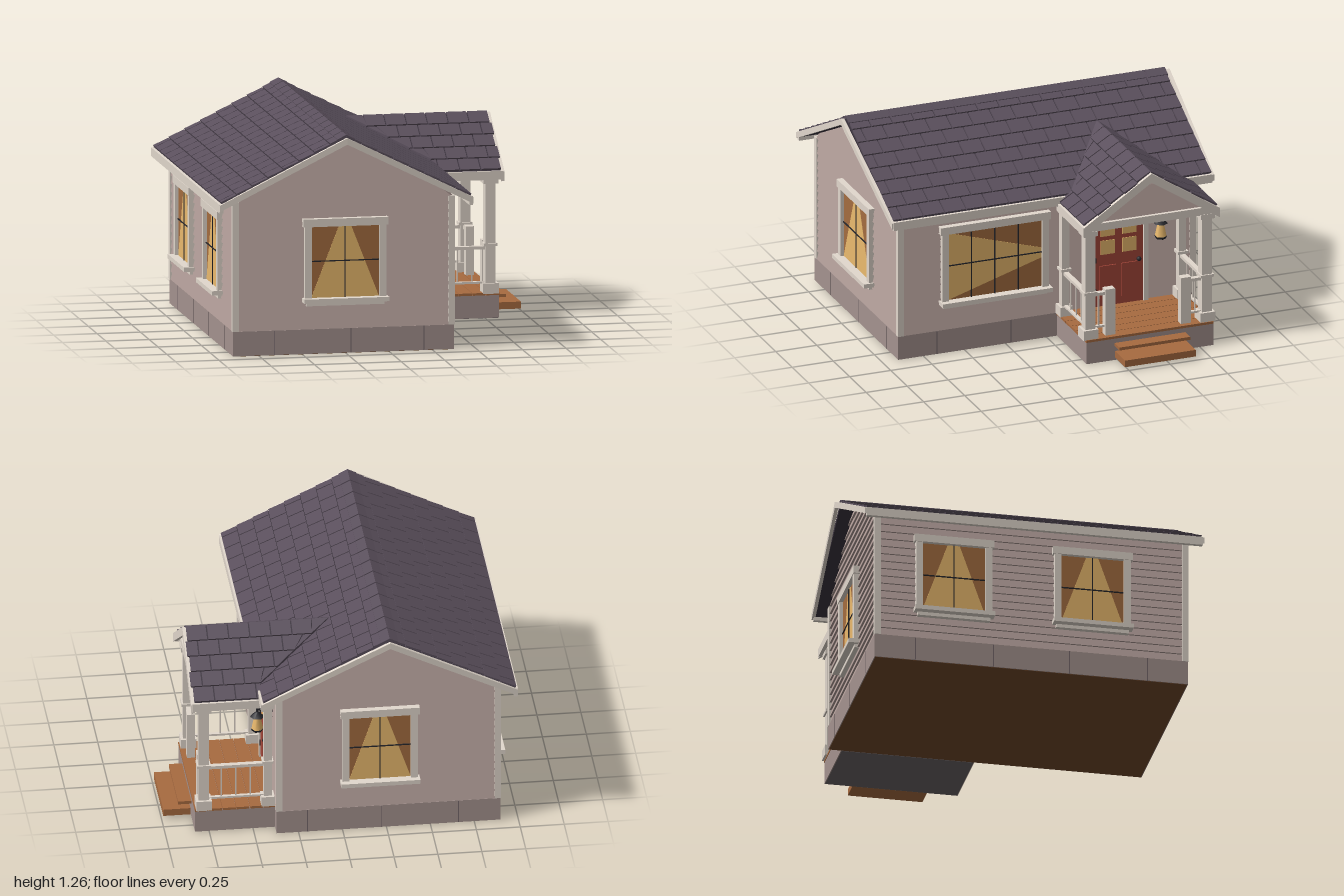
import * as THREE from 'three';
import { mergeGeometries } from 'three/addons/utils/BufferGeometryUtils.js';

const C = {
  siding: 0xb09c97, stone: 0xa5938f, seam: 0x75676a, trim: 0xe2d8cd, roof: 0x5a4f5c, gap: 0x3a323d,
  door: 0xa6473a, glow: 0xecbb6e, curtain: 0xa56d40, wood: 0xa86b40, under: 0x70482a, porchUnder: 0x6a6264, dark: 0x26262b,
};
const mats = {};
const mat = (k) => (mats[k] ??= new THREE.MeshStandardMaterial({ color: C[k] }));

function add(parent, name, geo, key) {
  const m = new THREE.Mesh(geo, mat(key));
  m.name = name;
  parent.add(m);
  return m;
}
function box(parent, name, key, w, h, d, x, y, z) {
  const m = add(parent, name, new THREE.BoxGeometry(w, h, d), key);
  m.position.set(x, y, z);
}
function group(parent, name, x = 0, y = 0, z = 0, turn = 0) {
  const g = new THREE.Group();
  g.name = name;
  g.position.set(x, y, z);
  g.rotation.y = turn;
  parent.add(g);
  return g;
}
const polygon = (pts) => new THREE.Shape(pts.map(([x, y]) => new THREE.Vector2(x, y)));
const extrude = (pts, depth, z) =>
  new THREE.ExtrudeGeometry(polygon(pts), { depth, bevelEnabled: false }).translate(0, 0, z);

// Overlapping clapboards facing +z; halfWidth(y) narrows them under a gable
function siding(parent, y0, y1, halfWidth, step = 0.046) {
  const boards = [];
  for (let y = y0; y < y1 - 0.005; y += step) {
    const top = Math.min(y + step, y1);
    const g = new THREE.BoxGeometry(1, 1, 1);
    const p = g.attributes.position;
    for (let i = 0; i < p.count; i++) {
      const up = p.getY(i) > 0, yy = up ? top : y;
      p.setXYZ(i, Math.sign(p.getX(i)) * halfWidth(yy), yy, p.getZ(i) < 0 ? -0.005 : up ? 0.003 : 0.015);
    }
    g.computeVertexNormals();
    boards.push(g);
  }
  add(parent, 'clapboards', mergeGeometries(boards), 'siding');
}

// Pitched roof with its ridge along z: slab, shingles cut along the valley, eave fascias
function pitchedRoof(parent, half, apex, slope, z0, z1, rows, tile, valley) {
  const t = 0.03, eave = apex - half * slope, a = Math.atan(slope);
  add(parent, 'roofSlab', extrude([[-half, eave], [-half, eave - t], [0, apex - t], [half, eave - t],
    [half, eave], [0, apex]], z1 - z0, z0), 'gap');
  const len = half / Math.cos(a) / rows, tiles = [];
  for (const s of [-1, 1]) {
    for (let r = 0; r < rows; r++) {
      const d = ((r + 0.5) * half) / rows;
      for (let z = z0 - (r % 2) * tile * 0.5; z < z1; z += tile) {
        const a0 = Math.max(z, z0), a1 = Math.min(z + tile, z1);
        if (a1 - a0 < 0.02 || a1 < valley(d - half / rows / 2)) continue;
        const g = new THREE.BoxGeometry(len - 0.004, 0.012, a1 - a0 - 0.008);
        g.rotateZ(-s * (a - 0.05));
        g.translate(s * d, apex - d * slope + 0.009, (a0 + a1) / 2);
        const p = g.attributes.position;
        for (let i = 0; i < p.count; i++) p.setZ(i, Math.max(p.getZ(i), valley(Math.abs(p.getX(i)))));
        tiles.push(g);
      }
    }
  }
  add(parent, 'shingles', mergeGeometries(tiles), 'roof');
  const from = Math.max(z0, valley(half));
  for (const s of [-1, 1])
    box(parent, 'eaveFascia', 'trim', 0.022, 0.05, z1 - from, s * half, eave - 0.022, (from + z1) / 2);
}

// Barge boards under a gable edge, leaning outwards by lean at the ridge
function bargeBoard(parent, half, apex, slope, z, depth, lean) {
  const e = apex - half * slope;
  const g = extrude([[-half, e + 0.005], [-half, e - depth], [0, apex - depth], [half, e - depth],
    [half, e + 0.005], [0, apex + 0.005]], 0.02, z - 0.01);
  const p = g.attributes.position;
  for (let i = 0; i < p.count; i++) p.setZ(i, p.getZ(i) + lean * (1 - Math.abs(p.getX(i)) / half));
  g.computeVertexNormals();
  add(parent, 'bargeBoard', g, 'trim');
}

// Lit window facing +z: trim, sill, glowing pane, curtains and glazing bars
function windowUnit(parent, x, w, bars, sideways) {
  const g = group(parent, 'window', x, 0.525, 0), h = 0.41;
  box(g, 'curtainBacking', 'curtain', w, h, 0.02, 0, 0, 0.007);
  const pts = sideways
    ? [[-w / 2, -h / 2], [w / 2, -0.03], [w / 2, 0.03], [-w / 2, h / 2]]
    : [[-w / 2, -h / 2], [w / 2, -h / 2], [0.035, h / 2], [-0.035, h / 2]];
  add(g, 'litPane', extrude(pts, 0.003, 0.016), 'glow');
  for (const s of [-1, 1]) box(g, 'sideTrim', 'trim', 0.04, h, 0.045, s * (w / 2 + 0.02), 0, 0.015);
  box(g, 'headTrim', 'trim', w + 0.1, 0.045, 0.05, 0, h / 2 + 0.022, 0.017);
  box(g, 'sill', 'trim', w + 0.1, 0.025, 0.08, 0, -h / 2 - 0.012, 0.03);
  box(g, 'apron', 'trim', w + 0.06, 0.02, 0.04, 0, -h / 2 - 0.035, 0.012);
  box(g, 'crossBar', 'dark', w, 0.006, 0.006, 0, 0.005, 0.021);
  for (const b of bars) box(g, 'uprightBar', 'dark', 0.005, h, 0.006, b * w, 0, 0.021);
}

function buildDoor(wall) {
  const g = group(wall, 'frontDoor', 0.43, 0.14, 0);
  box(g, 'doorLeaf', 'door', 0.3, 0.58, 0.03, 0, 0.29, 0.012);
  for (const s of [-1, 1]) {
    box(g, 'doorJamb', 'trim', 0.03, 0.6, 0.045, s * 0.165, 0.3, 0.015);
    box(g, 'lowerPanel', 'door', 0.1, 0.2, 0.01, s * 0.065, 0.15, 0.03);
    for (const y of [0.36, 0.47]) box(g, 'doorPane', 'glow', 0.085, 0.085, 0.008, s * 0.065, y, 0.026);
  }
  box(g, 'doorHead', 'trim', 0.4, 0.03, 0.055, 0, 0.595, 0.02);
  for (const y of [0.1, 0.29, 0.5]) box(g, 'hinge', 'dark', 0.014, 0.03, 0.012, -0.145, y, 0.03);
  add(g, 'doorKnob', new THREE.SphereGeometry(0.014, 10, 8), 'dark').position.set(0.12, 0.265, 0.04);
}

function buildLantern(wall) {
  const g = group(wall, 'porchLantern', 0.66, 0, 0.095);
  const tube = (name, key, r0, r1, h, y) =>
    add(g, name, new THREE.CylinderGeometry(r0, r1, h, 6), key).position.set(0, y, 0);
  tube('lanternFinial', 'dark', 0.006, 0.006, 0.03, 0.67);
  tube('lanternCap', 'dark', 0.008, 0.042, 0.03, 0.643);
  tube('lanternGlass', 'glow', 0.018, 0.034, 0.08, 0.588);
  tube('lanternBase', 'dark', 0.036, 0.03, 0.014, 0.543);
  box(g, 'lanternArm', 'dark', 0.01, 0.01, 0.09, 0, 0.672, -0.045);
  box(g, 'lanternPlate', 'dark', 0.03, 0.07, 0.012, 0, 0.66, -0.08);
}

// Railing of the given length, running along local x about its centre
function railing(parent, x, z, len, turn) {
  const g = group(parent, 'railing', x, 0, z, turn);
  box(g, 'topRail', 'trim', len, 0.018, 0.03, 0, 0.4, 0);
  box(g, 'bottomRail', 'trim', len, 0.012, 0.02, 0, 0.2, 0);
  const n = Math.max(1, Math.round(len / 0.075) - 1);
  for (let i = 1; i <= n; i++)
    box(g, 'baluster', 'trim', 0.008, 0.2, 0.008, (i / (n + 1) - 0.5) * len, 0.3, 0);
}

function buildPorch(house) {
  const g = group(house, 'porch', 0, 0, -0.445);
  box(g, 'porchFoundation', 'stone', 0.46, 0.13, 0.77, 0.6, 0.065, 0);
  box(g, 'porchUnderside', 'porchUnder', 0.45, 0.004, 0.76, 0.6, 0, 0);
  for (let i = 0; i < 6; i++) box(g, 'deckBoard', 'wood', 0.075, 0.014, 0.775, 0.4 + i * 0.0785, 0.137, 0);
  box(g, 'upperStep', 'wood', 0.08, 0.018, 0.43, 0.865, 0.095, 0);
  box(g, 'lowerStep', 'wood', 0.155, 0.04, 0.43, 0.9125, 0.037, 0);
  for (const s of [-1, 1]) {
    for (const [x, w] of [[0.78, 0.06], [0.415, 0.045]]) {
      box(g, 'post', 'trim', w, 0.66, w, x, 0.47, s * 0.355);
      for (const [y, e, h] of [[0.17, 0.03, 0.06], [0.42, 0.018, 0.016], [0.785, 0.025, 0.03]])
        box(g, 'postCollar', 'trim', w + e, h, w + e, x, y, s * 0.355);
    }
    railing(g, 0.595, s * 0.355, 0.33, 0);
    box(g, 'newelPost', 'trim', 0.045, 0.28, 0.06, 0.78, 0.285, s * 0.23);
    railing(g, 0.78, s * 0.2925, 0.08, Math.PI / 2);
    box(g, 'sideBeam', 'trim', 0.44, 0.045, 0.06, 0.59, 0.82, s * 0.355);
  }
  box(g, 'frontBeam', 'trim', 0.06, 0.045, 0.77, 0.79, 0.82, 0);
  const roof = group(g, 'porchRoof', 0, 0, 0, Math.PI / 2);
  pitchedRoof(roof, 0.405, 1.11, 0.66, 0.0, 0.85, 5, 0.12, (d) => Math.min(0.46, 0.02 + 1.32 * d));
  bargeBoard(roof, 0.415, 1.11, 0.66, 0.845, 0.05, 0);
  const gable = group(roof, 'porchGable', 0, 0, 0.79);
  add(gable, 'gableCore', extrude([[-0.37, 0.835], [0.37, 0.835], [0, 1.08]], 0.02, -0.022), 'siding');
  siding(gable, 0.845, 1.06, (y) => Math.max(0.005, (1.075 - y) / 0.66));
}

export function createModel() {
  const house = new THREE.Group();
  house.name = 'cottage';
  const cx = -0.2625, hw = 0.6225, hd = 0.888;

  // Foundation with block joints, and the floor underneath
  box(house, 'foundation', 'stone', 1.275, 0.14, 1.81, cx, 0.07, 0);
  box(house, 'floorUnderside', 'under', 1.265, 0.004, 1.8, cx, 0, 0);
  for (const x of [-0.66, -0.22, 0.2]) box(house, 'blockJoint', 'seam', 0.005, 0.138, 1.813, x, 0.07, 0);
  for (const z of [-0.67, -0.22, 0.22, 0.67]) box(house, 'blockJoint', 'seam', 1.278, 0.138, 0.005, cx, 0.07, z);

  // Wall core with both gables
  add(house, 'wallCore', extrude([[-hw, 0.14], [hw, 0.14], [hw, 0.895], [0, 1.208], [-hw, 0.895]], hd * 2, -hd)
    .translate(cx, 0, 0), 'siding');
  const gableWidth = (y) => (y <= 0.895 ? hw : Math.max(0.005, (1.207 - y) * 2));
  const front = group(house, 'frontWall', cx, 0, hd, 0);
  const back = group(house, 'backWall', cx, 0, -hd, Math.PI);
  const right = group(house, 'porchSideWall', cx + hw, 0, 0, Math.PI / 2);
  const left = group(house, 'farSideWall', cx - hw, 0, 0, -Math.PI / 2);
  for (const w of [front, back]) siding(w, 0.14, 1.2, gableWidth);
  for (const w of [right, left]) siding(w, 0.14, 0.885, () => hd);
  windowUnit(front, 0.008, 0.39, [0], false);
  windowUnit(back, -0.05, 0.35, [0], false);
  windowUnit(right, -0.32, 0.57, [-0.25, 0, 0.25], true);
  for (const x of [-0.45, 0.35]) windowUnit(left, x, 0.36, [0], false);
  for (const sx of [-1, 1])
    for (const sz of [-1, 1]) box(house, 'cornerBoard', 'trim', 0.036, 0.74, 0.036, cx + sx * hw, 0.51, sz * hd);

  buildDoor(right);
  buildLantern(right);
  buildPorch(house);

  // Main roof with leaning barge boards and a row of ridge caps
  const roof = group(house, 'mainRoof', -0.26, 0, 0);
  pitchedRoof(roof, 0.72, 1.24, 0.5, -0.97, 0.97, 8, 0.13, () => -1);
  for (const s of [-1, 1]) bargeBoard(roof, 0.73, 1.24, 0.5, s * 0.97, 0.032, s * 0.02);
  const caps = [];
  for (let i = 0; i < 15; i++)
    caps.push(extrude([[-0.05, 1.225], [0, 1.25], [0.05, 1.225], [0.05, 1.235], [0, 1.26], [-0.05, 1.235]],
      0.12, -0.97 + i * 0.13));
  add(roof, 'ridgeCaps', mergeGeometries(caps), 'roof');
  return house;
}
